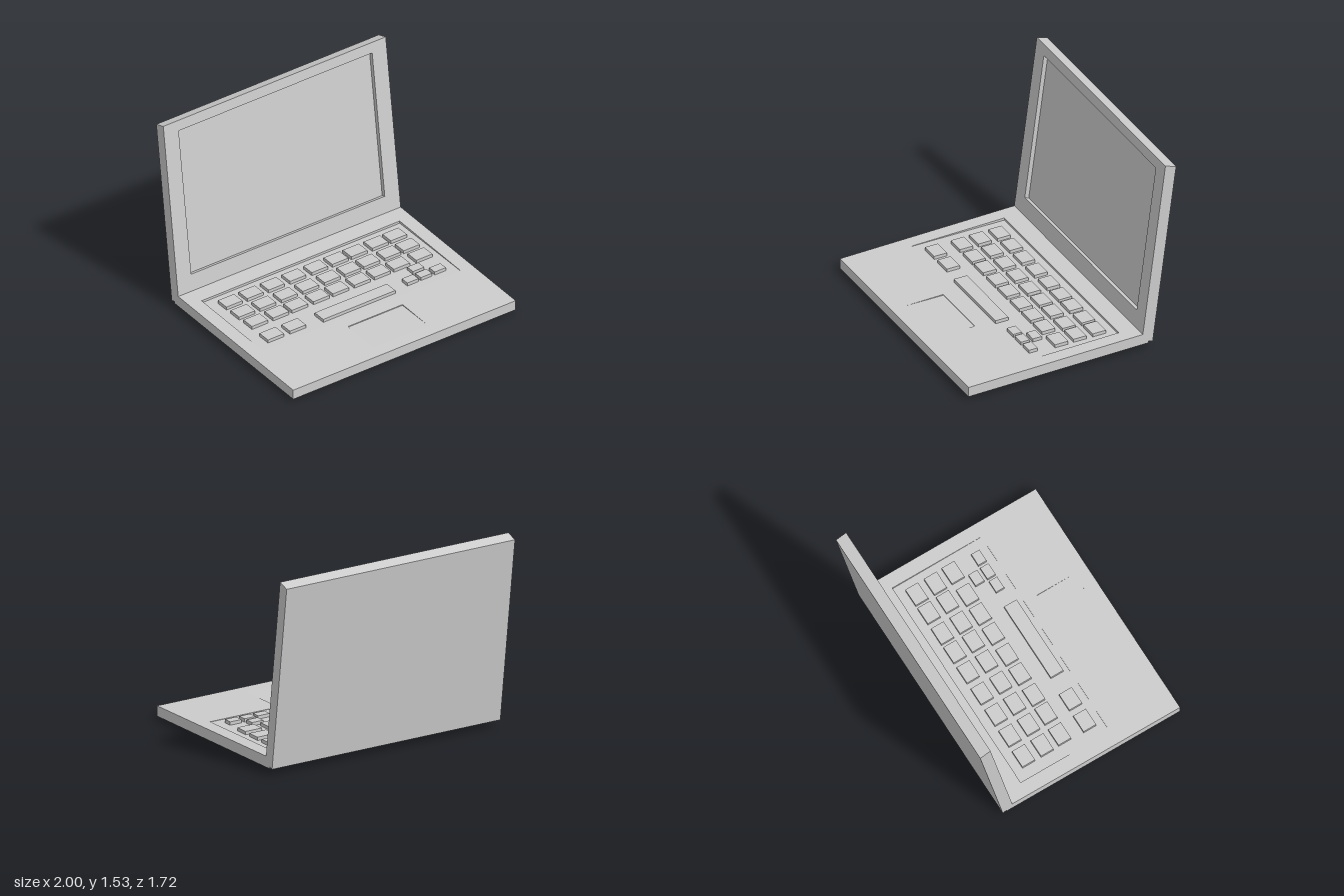
import * as THREE from 'three';

const grey = new THREE.MeshStandardMaterial({ color: 0xcccccc, flatShading: true });

// Rectangle outline, as a shape or as a hole
function rect(x0, y0, x1, y1, Type = THREE.Shape) {
  const p = new Type();
  p.moveTo(x0, y0);
  p.lineTo(x1, y0);
  p.lineTo(x1, y1);
  p.lineTo(x0, y1);
  p.closePath();
  return p;
}

function slab(shape, depth) {
  return new THREE.ExtrudeGeometry(shape, { depth, bevelEnabled: false });
}

// Horizontal slab over an x/z outline whose bottom and top heights are functions of z
function layer(shape, bottom, top) {
  const g = slab(shape, 1).rotateX(-Math.PI / 2);
  const p = g.attributes.position;
  for (let i = 0; i < p.count; i++) {
    p.setY(i, (p.getY(i) > 0.5 ? top : bottom)(p.getZ(i)));
  }
  g.computeVertexNormals();
  return g;
}

export function createModel() {
  const model = new THREE.Group();
  model.name = 'laptop';
  const add = (name, geometry, parent = model) => {
    const m = new THREE.Mesh(geometry, grey);
    m.name = name;
    parent.add(m);
    return m;
  };

  // Base: gently sloping wedge with recessed keyboard well and trackpad
  const front = 0.86, back = -0.63, joint = 0.085;
  const topY = z => 0.1 + (front - z) * 0.0207;
  const bottomY = z => 0.02 + (front - z) * 0.0168;
  const flat = y => () => y;
  const outline = () => rect(-1, -front, 1, -back);
  const wells = [
    { name: 'keyboardFloor', box: [-0.89, -0.323, 0.89, 0.443], y: 0.108 },
    { name: 'trackpad', box: [-0.2, -0.75, 0.29, -0.43], y: 0.1022 },
  ];
  const deck = outline();
  wells.forEach(w => deck.holes.push(rect(...w.box, THREE.Path)));
  add('baseBottom', layer(outline(), bottomY, flat(joint)));
  add('baseDeck', layer(deck, flat(joint), topY));
  wells.forEach(w => add(w.name, layer(rect(...w.box), flat(joint), flat(w.y))));

  // Keys: level blocks passing right through the base
  const keys = new THREE.Group();
  keys.name = 'keys';
  model.add(keys);
  const key = (name, x, z, w, d) =>
    add(name, new THREE.BoxGeometry(w, 0.134, d), keys).position.set(x, 0.067, z);
  const upper = [-0.725, -0.537, -0.345, -0.152, 0.043, 0.227, 0.398, 0.586, 0.754];
  const rows = [
    { z: -0.316, xs: upper },
    { z: -0.156, xs: upper },
    { z: -0.002, xs: [-0.72, -0.53, -0.36, -0.168, 0.008, 0.2, 0.38, 0.556, 0.757] },
    { z: 0.209, xs: [-0.727, -0.53] },
  ];
  rows.forEach(r => r.xs.forEach(x => key('key', x, r.z, 0.144, 0.108)));
  key('spaceBar', 0.009, 0.227, 0.648, 0.107);
  [0.51, 0.631, 0.756].forEach(x => key('arrowKey', x, 0.219, 0.1, 0.07));
  key('arrowKey', 0.631, 0.12, 0.1, 0.074);

  // Lid: back panel plus a frame around the sunken screen, leaned back with sloping ends
  const lean = new THREE.Matrix4().makeBasis(
    new THREE.Vector3(1, 0, 0),
    new THREE.Vector3(0, 1, -0.1338),
    new THREE.Vector3(0, 0.34, 1),
  ).setPosition(0, 0.05, -0.665);
  const height = 1.45, thickness = 0.088, panel = 0.055;
  const bezel = rect(-1, 0, 1, height);
  bezel.holes.push(rect(-0.87, 0.186, 0.87, 1.366, THREE.Path));
  add('lidBackAndScreen', slab(rect(-1, 0, 1, height), panel).applyMatrix4(lean));
  add('screenBezel', slab(bezel, thickness - panel).translate(0, 0, panel).applyMatrix4(lean));

  return model;
}
